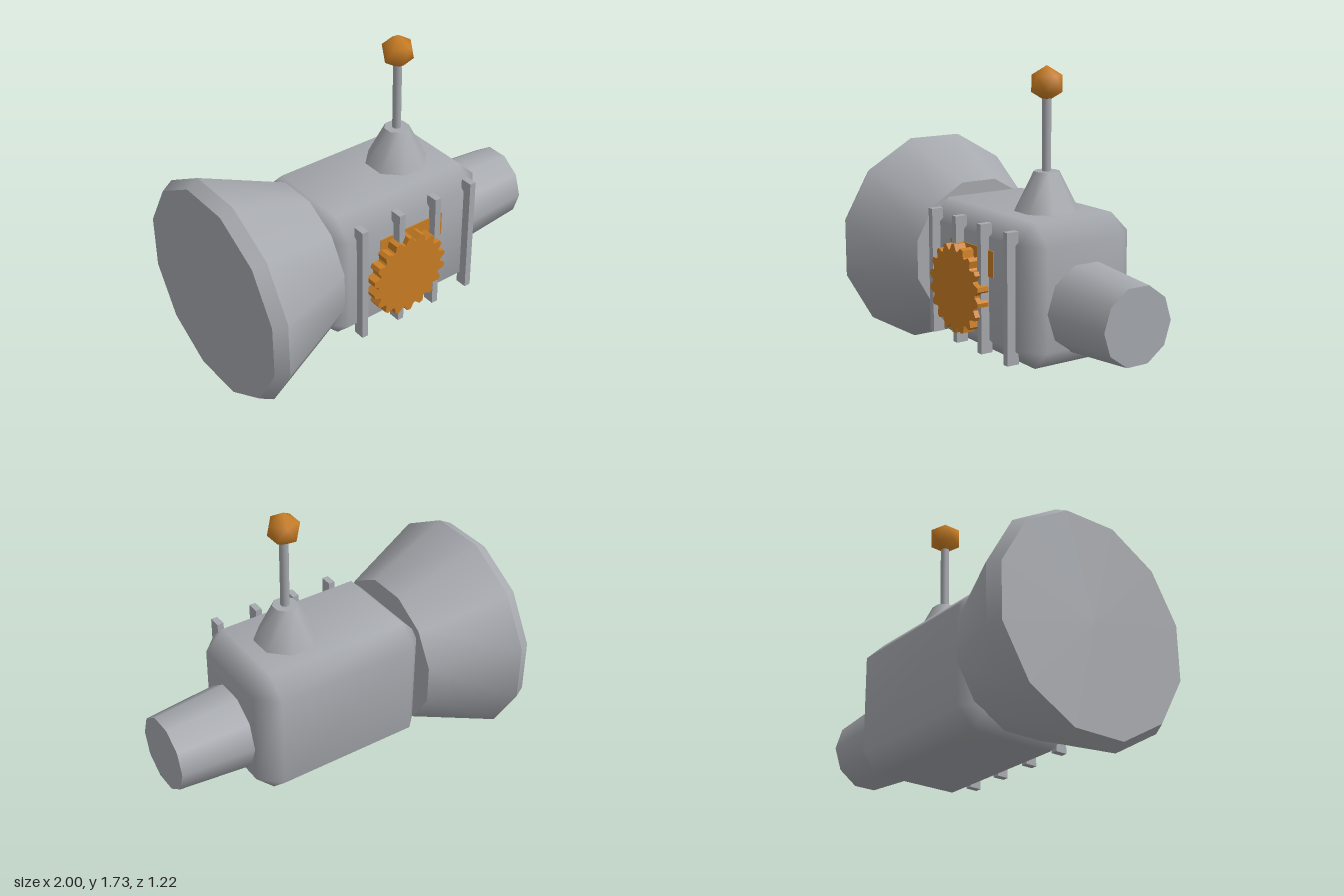
import * as THREE from 'three';
import { mergeVertices } from 'three/addons/utils/BufferGeometryUtils.js';
import { ConvexGeometry } from 'three/addons/geometries/ConvexGeometry.js';

const grey = new THREE.MeshStandardMaterial({ name: 'grey metal', color: 0xa6a9ae });
const orange = new THREE.MeshStandardMaterial({ name: 'orange', color: 0xca7e24 });

// Convex solid with smooth normals
function smoothHull(points) {
  const g = new ConvexGeometry(points);
  g.deleteAttribute('normal');
  const merged = mergeVertices(g, 1e-4);
  merged.computeVertexNormals();
  return merged;
}

// Box with every edge cut at 45 degrees
function chamferBox(w, h, d, c) {
  const pts = [];
  for (const x of [-1, 1]) for (const y of [-1, 1]) for (const z of [-1, 1]) {
    for (let k = 0; k < 3; k++) {
      pts.push(new THREE.Vector3(
        x * (w / 2 - (k === 0 ? 0 : c)),
        y * (h / 2 - (k === 1 ? 0 : c)),
        z * (d / 2 - (k === 2 ? 0 : c))));
    }
  }
  return smoothHull(pts);
}

// Icosahedron standing on a vertex
function ballGeometry(r) {
  const pts = [new THREE.Vector3(0, r, 0), new THREE.Vector3(0, -r, 0)];
  for (let i = 0; i < 10; i++) {
    const a = i * Math.PI / 5;
    pts.push(new THREE.Vector3(0.894 * Math.cos(a), i % 2 ? -0.447 : 0.447, 0.894 * Math.sin(a)).multiplyScalar(r));
  }
  return smoothHull(pts);
}

// Toothed disc facing +z
function gearGeometry(teeth, outer, inner, depth) {
  const shape = new THREE.Shape();
  const step = Math.PI * 2 / teeth;
  for (let i = 0; i < teeth; i++) {
    const a = Math.PI / 2 + i * step;
    [[-0.42, inner], [-0.14, outer], [0.14, outer], [0.42, inner]].forEach(([t, r], k) => {
      const x = r * Math.cos(a + t * step), y = r * Math.sin(a + t * step);
      if (i === 0 && k === 0) shape.moveTo(x, y); else shape.lineTo(x, y);
    });
  }
  shape.closePath();
  return new THREE.ExtrudeGeometry(shape, { depth, bevelEnabled: false });
}

export function createModel() {
  const model = new THREE.Group();
  model.name = 'machine';
  const add = (name, geometry, material, x, y, z) => {
    const mesh = new THREE.Mesh(geometry, material);
    mesh.name = name;
    mesh.position.set(x, y, z);
    model.add(mesh);
    return mesh;
  };
  // Tapered prism along x, from radius r0 at x0 to r1 at x1
  const alongX = (name, x0, r0, x1, r1, y, sides, start, open = false) => add(name,
    new THREE.CylinderGeometry(r1, r0, x1 - x0, sides, 1, open, start).rotateZ(-Math.PI / 2),
    grey, (x0 + x1) / 2, y, 0);

  // Body, bell and nozzle
  add('body', chamferBox(1.06, 0.774, 0.71, 0.11), grey, 0.05, 0.579, 0);
  alongX('bell', -0.93, 0.632, -0.44, 0.425, 0.612, 12, Math.PI / 12);
  alongX('bellRim', -1, 0.595, -0.93, 0.632, 0.612, 12, Math.PI / 12);
  alongX('nozzle', 0.56, 0.246, 1, 0.211, 0.51, 10, 0);

  // Antenna
  add('antennaBase', new THREE.CylinderGeometry(0.07, 0.177, 0.212, 8, 1, false, Math.PI / 8), grey, 0.225, 1.069, 0);
  add('antennaRod', new THREE.CylinderGeometry(0.025, 0.025, 0.44, 8, 1, false, Math.PI / 8), grey, 0.225, 1.37, 0);
  add('antennaBall', ballGeometry(0.095), orange, 0.225, 1.636, 0);

  // Front rails
  for (let i = 0; i < 4; i++) {
    add('rail', new THREE.BoxGeometry(0.038, 0.7, 0.07), grey, -0.3 + i * 0.245, 0.58, 0.37);
  }

  // Gear and the panel behind it
  add('panel', new THREE.BoxGeometry(0.42, 0.142, 0.04), orange, 0.048, 0.718, 0.341);
  add('gear', gearGeometry(18, 0.245, 0.212, 0.068), orange, -0.02, 0.543, 0.367);

  return model;
}
